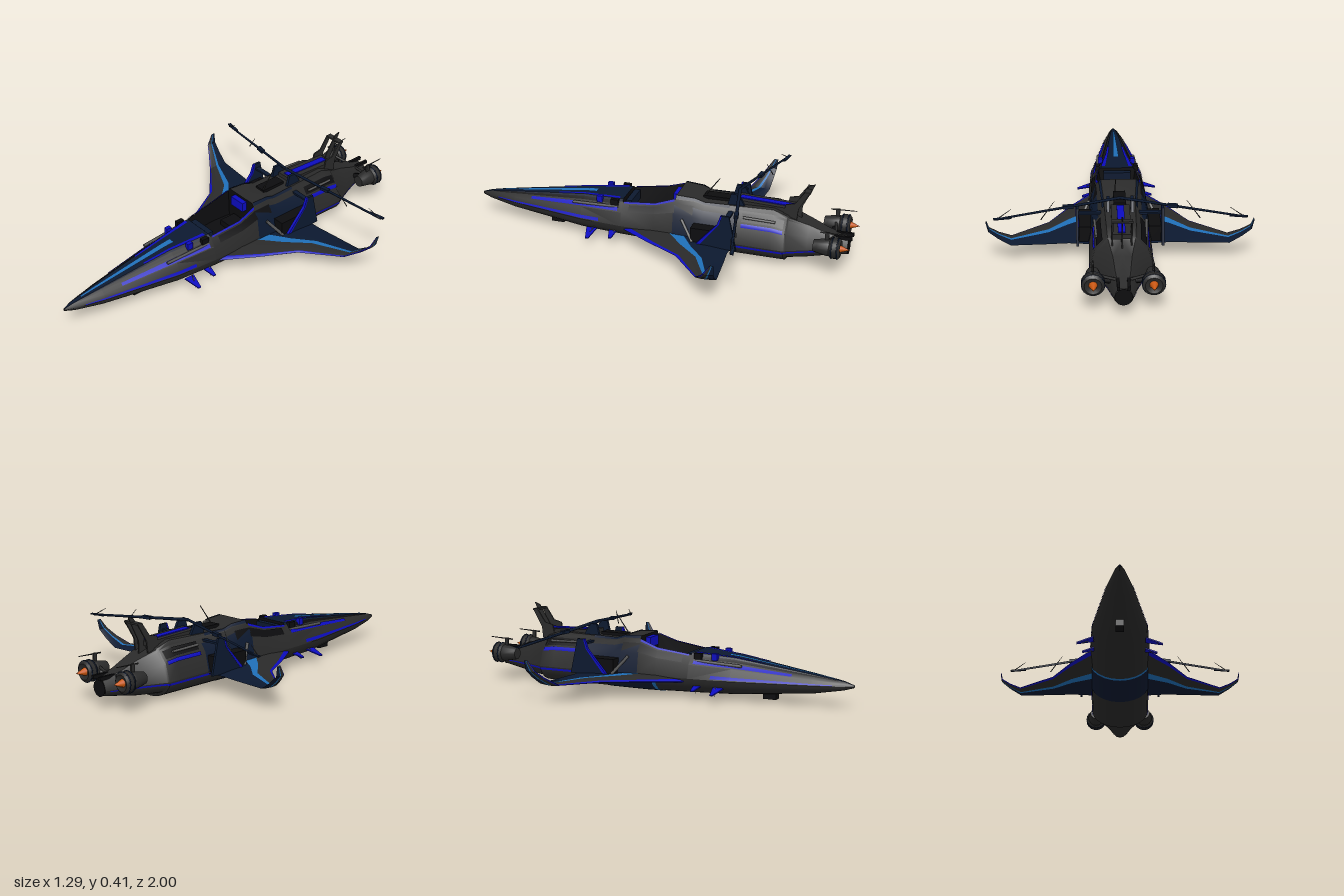
import * as THREE from 'three';
import { toCreasedNormals } from 'three/addons/utils/BufferGeometryUtils.js';

const C = { dark: 0x2a2a2a, black: 0x0c0c0e, blue: 0x0c0cc0, sky: 0x1f6fb8, navy: 0x0c1930, steel: 0x555555, orange: 0xc8560f };
const mats = {};
const mat = c => mats[c] ??= new THREE.MeshStandardMaterial({ color: C[c], side: THREE.DoubleSide });

// Hull stations: z, chine half width, keel y, rim x, rim y, centre y
const HULL = [
  [1, 0.005, 0.104, 0.003, 0.116, 0.117],
  [0.95, 0.025, 0.088, 0.01, 0.13, 0.132],
  [0.8, 0.062, 0.06, 0.025, 0.15, 0.155],
  [0.4, 0.134, 0.02, 0.06, 0.2, 0.21],
  [0.18, 0.147, 0.01, 0.095, 0.215, 0.226],
  [0.177, 0.147, 0.01, 0.095, 0.215, 0.13],
  [0, 0.15, 0.003, 0.108, 0.238, 0.13],
  [-0.1, 0.15, 0, 0.1, 0.272, 0.13],
  [-0.103, 0.15, 0, 0.1, 0.272, 0.288],
  [-0.2, 0.15, 0, 0.095, 0.27, 0.282],
  [-0.25, 0.15, 0, 0.09, 0.255, 0.265],
  [-0.6, 0.152, 0, 0.08, 0.25, 0.272],
  [-0.67, 0.152, 0, 0.075, 0.235, 0.245],
  [-0.68, 0.145, 0.018, 0.07, 0.225, 0.235],
  [-0.78, 0.1, 0.025, 0.05, 0.195, 0.202],
  [-0.86, 0.07, 0.04, 0.04, 0.165, 0.17],
  [-0.97, 0.042, 0.06, 0.025, 0.135, 0.14],
];

// Point on the half hull: u = 0 keel, 6 chine, 7 shoulder, 8 rim, 9 inner rim, 10 centre
function hullPoint(z, u, lift) {
  let i = 0;
  while (i < HULL.length - 2 && z < HULL[i + 1][0]) i++;
  const t = (z - HULL[i][0]) / (HULL[i + 1][0] - HULL[i][0]);
  const [, w, yb, rx, ry, cy] = HULL[i].map((v, k) => v + (HULL[i + 1][k] - v) * t);
  const yc = 0.1 + 0.01 * z;
  const at = k => k <= 6
    ? [w * Math.sin(k * Math.PI / 12), yc - (yc - yb) * Math.cos(k * Math.PI / 12)]
    : [[(2 * w + rx) / 3, yc + (ry - yc) * 0.6], [rx, ry], [rx * 0.88, cy], [0, cy]][k - 7];
  const a = at(Math.floor(u)), b = at(Math.ceil(u)), f = u % 1;
  const x = a[0] + (b[0] - a[0]) * f, y = a[1] + (b[1] - a[1]) * f, l = Math.hypot(x, y - yc) || 1;
  return [x + lift * x / l, y + lift * (y - yc) / l];
}

// Surface from rows of points
function skin(rows, flip) {
  const n = rows[0].length, idx = [];
  for (let i = 0; i < rows.length - 1; i++) for (let j = 0; j < n - 1; j++) {
    const a = i * n + j, b = a + 1, c = a + n, d = c + 1;
    idx.push(...(flip ? [a, b, c, b, d, c] : [a, c, b, b, c, d]));
  }
  const g = new THREE.BufferGeometry();
  g.setAttribute('position', new THREE.Float32BufferAttribute(rows.flat(2), 3));
  g.setIndex(idx);
  return toCreasedNormals(g, 0.6);
}

export function createModel() {
  const root = new THREE.Group();
  root.name = 'spacecraft';
  const add = (name, color, geo, x = 0, y = 0, z = 0) => {
    const m = new THREE.Mesh(geo, mat(color));
    m.name = name;
    m.position.set(x, y, z);
    root.add(m);
    return m;
  };
  const box = (name, color, w, h, d, x, y, z) => add(name, color, new THREE.BoxGeometry(w, h, d), x, y, z);
  const bar = (name, color, a, b, r0, r1 = r0, sides = 6) => {
    const A = new THREE.Vector3(...a), B = new THREE.Vector3(...b), d = B.clone().sub(A);
    const m = add(name, color, new THREE.CylinderGeometry(r1, r0, d.length(), sides));
    m.position.copy(A).add(B).multiplyScalar(0.5);
    m.quaternion.setFromUnitVectors(new THREE.Vector3(0, 1, 0), d.normalize());
  };
  const both = fn => [1, -1].forEach(fn);
  // Vertical plate with a (z, y) outline, centred on x
  const plate = (name, color, pts, thick, x) => {
    const g = new THREE.ExtrudeGeometry(new THREE.Shape(pts.map(p => new THREE.Vector2(-p[0], p[1]))), { depth: thick, bevelEnabled: false });
    add(name, color, g.translate(0, 0, -thick / 2).rotateY(Math.PI / 2), x);
  };
  // Band of hull skin on both sides
  const band = (name, color, z0, z1, u0, u1, lift = 0) => both(s => {
    const zs = [z0, ...HULL.map(h => h[0]).filter(z => z < z0 && z > z1), z1];
    const us = [u0];
    for (let k = Math.floor(u0) + 1; k < u1; k++) us.push(k);
    us.push(u1);
    add(name, color, skin(zs.map(z => us.map(u => { const p = hullPoint(z, u, lift); return [p[0] * s, p[1], z]; })), s < 0));
  });

  // Hull skin and cockpit tub
  band('lowerHull', 'dark', 1, -0.97, 0, 6);
  band('sideHull', 'dark', 1, -0.97, 6, 8);
  band('noseDeck', 'navy', 1, 0.18, 8, 10);
  band('cockpitTub', 'black', 0.18, -0.103, 8, 10);
  band('rearDeck', 'dark', -0.103, -0.97, 8, 10);
  // Painted and raised strips
  band('chineStripe', 'blue', 0.9, 0.3, 6.1, 6.35, 0.003);
  band('rearChineStripe', 'blue', -0.35, -0.95, 5.3, 5.75, 0.003);
  band('noseSideStripe', 'blue', 0.7, 0.2, 7.1, 7.5, 0.004);
  band('noseEdge', 'black', 0.92, 0.2, 7.7, 8, 0.003);
  band('noseCentreStripe', 'sky', 0.9, 0.35, 9.75, 10, 0.003);
  band('nosePanel', 'blue', 0.55, 0.2, 9, 9.25, 0.003);
  band('cockpitRim', 'blue', 0.17, -0.1, 7.82, 8, 0.004);
  band('cockpitSide', 'black', 0.14, -0.2, 7.1, 7.7, 0.004);
  band('midSide', 'navy', -0.1, -0.42, 6, 7.6, 0.004);
  band('bellyBelt', 'navy', -0.02, -0.3, 0, 6, 0.002);
  band('bellyBeltEdge', 'sky', 0, -0.02, 0, 6, 0.003);
  band('rearSidePanel', 'blue', -0.45, -0.66, 6.9, 7.12, 0.006);
  band('rearArmour', 'black', -0.45, -0.66, 7.25, 7.8, 0.006);
  band('canopyBack', 'navy', -0.105, -0.38, 8.1, 9, 0.004);
  add('tailCap', 'black', new THREE.CylinderGeometry(0.038, 0.042, 0.01, 12).rotateX(Math.PI / 2), 0, 0.098, -0.968);

  // Cockpit fittings
  box('seat', 'blue', 0.09, 0.05, 0.03, 0, 0.25, -0.09);
  box('seatBase', 'black', 0.09, 0.03, 0.09, 0, 0.145, -0.05);
  box('dashboard', 'navy', 0.14, 0.05, 0.03, 0, 0.19, 0.155);
  box('hatch', 'black', 0.06, 0.02, 0.14, 0, 0.272, -0.3);
  bar('whipAerial', 'dark', [0.02, 0.27, -0.23], [0.02, 0.38, -0.31], 0.004, 0.002);

  // Spine with blue inlay
  box('spine', 'dark', 0.09, 0.025, 0.3, 0, 0.27, -0.55).rotation.x = -0.04;
  box('spineInlay', 'blue', 0.035, 0.006, 0.27, 0, 0.284, -0.55).rotation.x = -0.04;

  // Wings with upswept tips: x, y, leading z, trailing z, half thickness
  const WING = [
    [0.12, 0.085, 0.2, -0.42, 0.02], [0.25, 0.09, 0, -0.415, 0.014],
    [0.35, 0.091, -0.18, -0.425, 0.011], [0.53, 0.094, -0.33, -0.44, 0.007],
    [0.59, 0.135, -0.372, -0.447, 0.005], [0.635, 0.175, -0.4, -0.453, 0.004], [0.645, 0.225, -0.435, -0.457, 0.003],
  ];
  const wingBands = [['wingEdge', 'blue', 0, 0.07], ['wingForePanel', 'dark', 0.07, 0.42], ['wingStripe', 'sky', 0.42, 0.55], ['wingRearPanel', 'navy', 0.55, 1]];
  both(s => both(up => wingBands.forEach(([name, color, f0, f1]) => {
    const rows = [0, 0.5, 1].map(k => f0 + (f1 - f0) * k).map(f =>
      WING.map(([x, y, lead, trail, h]) => {
        const k = h * up * Math.sqrt(Math.max(0, Math.min(f / 0.25, (1 - f) / 0.6, 1)));
        return [s * (x - (x > 0.56 ? k * 0.7 : 0)), y + k, lead + (trail - lead) * f];
      }));
    add(name, color, skin(rows, s * up > 0));
  })));

  both(s => {
    // Pylons, intakes and braces beside the hull
    plate('pylon', 'navy', [[-0.25, 0.09], [-0.355, 0.22], [-0.37, 0.27], [-0.41, 0.27], [-0.45, 0.09]], 0.012, s * 0.207);
    plate('pylonEdge', 'blue', [[-0.235, 0.09], [-0.35, 0.22], [-0.367, 0.27], [-0.375, 0.27], [-0.36, 0.22], [-0.255, 0.09]], 0.015, s * 0.207);
    box('intake', 'black', 0.06, 0.08, 0.2, s * 0.17, 0.135, -0.31);
    bar('pylonBrace', 'steel', [s * 0.15, 0.19, -0.15], [s * 0.2, 0.1, -0.22], 0.008);
    plate('beamMount', 'navy', [[-0.36, 0.25], [-0.38, 0.325], [-0.42, 0.325], [-0.46, 0.25]], 0.014, s * 0.058);

    // Long swept aerial beam
    bar('aerialBeam', 'navy', [0, 0.328, -0.41], [s * 0.59, 0.275, -0.522], 0.009, 0.006, 4);
    box('beamTip', 'navy', 0.085, 0.006, 0.016, s * 0.56, 0.279, -0.522).rotation.y = s * 0.18;
    bar('beamTipSpike', 'dark', [s * 0.59, 0.272, -0.52], [s * 0.52, 0.315, -0.5], 0.003, 0.001);
    bar('beamSpike', 'dark', [s * 0.38, 0.255, -0.49], [s * 0.315, 0.34, -0.47], 0.003, 0.001);
    box('beamBlock', 'navy', 0.05, 0.016, 0.022, s * 0.25, 0.306, -0.457).rotation.y = s * 0.18;

    // Canard fins and spikes under the nose
    [[0.34, 0.2, 0.028], [0.225, 0.175, 0.02]].forEach(([z, x, d]) => {
      const fin = new THREE.Shape([[0.115, d], [x, 0.006], [x, -0.01], [0.115, -d]].map(p => new THREE.Vector2(...p)));
      const g = new THREE.ExtrudeGeometry(fin, { depth: 0.006, bevelEnabled: false }).rotateX(Math.PI / 2);
      add('canard', 'blue', g, s * 0.015, 0.09, z).rotation.z = s < 0 ? Math.PI + 0.25 : -0.25;
      bar('canardSpike', 'steel', [s * 0.12, 0.075, z - 0.02], [s * (x - 0.01), 0.035, z + 0.01], 0.003, 0.001);
    });

    // Rails and pods beside the nose
    bar('noseRail', 'steel', [s * 0.108, 0.19, 0.2], [s * 0.095, 0.178, 0.45], 0.008);
    box('nosePod', 'blue', 0.022, 0.035, 0.03, s * 0.085, 0.212, 0.305);
    box('nosePodRear', 'black', 0.022, 0.03, 0.04, s * 0.1, 0.212, 0.22);

    // Tail frame
    plate('tailFrame', 'dark', [[-0.64, 0.23], [-0.655, 0.3], [-0.7, 0.31], [-0.745, 0.375], [-0.775, 0.378], [-0.72, 0.285], [-0.71, 0.2]], 0.008, s * 0.045);

    // Engines with cones and struts
    const bell = [[0, -0.075], [0.02, -0.075], [0.04, -0.085], [0.052, -0.075], [0.052, -0.04], [0.042, -0.03], [0.044, -0.02], [0.034, 0.03], [0.03, 0.05], [0, 0.05]];
    add('engine', 'dark', toCreasedNormals(new THREE.LatheGeometry(bell.map(p => new THREE.Vector2(...p)), 16).rotateX(Math.PI / 2), 0.6), s * 0.137, 0.145, -0.87);
    [-0.913, -0.942].forEach(z => add('engineRing', 'navy', new THREE.TorusGeometry(0.051, 0.004, 6, 18), s * 0.137, 0.145, z));
    add('exhaustCone', 'orange', new THREE.ConeGeometry(0.022, 0.06, 12).rotateX(-Math.PI / 2), s * 0.137, 0.145, -0.97);
    bar('engineStrut', 'black', [s * 0.04, 0.12, -0.86], [s * 0.12, 0.145, -0.89], 0.013);
    bar('engineUpperStrut', 'dark', [s * 0.03, 0.15, -0.9], [s * 0.12, 0.165, -0.88], 0.007);
    bar('engineAerial', 'dark', [s * 0.137, 0.22, -0.85], [s * 0.137, 0.225, -0.98], 0.004, 0.002);
    box('aerialStem', 'dark', 0.01, 0.05, 0.02, s * 0.137, 0.2, -0.885);
    box('tailProng', 'black', 0.014, 0.018, 0.1, s * 0.024, 0.15, -0.94);
    bar('sidePipe', 'steel', [s * 0.125, 0.235, -0.46], [s * 0.118, 0.228, -0.62], 0.007);
  });

  // Centre pieces
  box('pylonCrossbar', 'navy', 0.42, 0.01, 0.025, 0, 0.24, -0.39);
  box('tailFrameTop', 'dark', 0.098, 0.008, 0.03, 0, 0.374, -0.76);
  plate('tailFin', 'dark', [[-0.68, 0.22], [-0.7, 0.3], [-0.76, 0.395], [-0.79, 0.405], [-0.77, 0.36], [-0.73, 0.28], [-0.73, 0.21]], 0.006, 0);
  box('chinSensor', 'black', 0.04, 0.03, 0.07, 0, 0.025, 0.57);
  return root;
}
